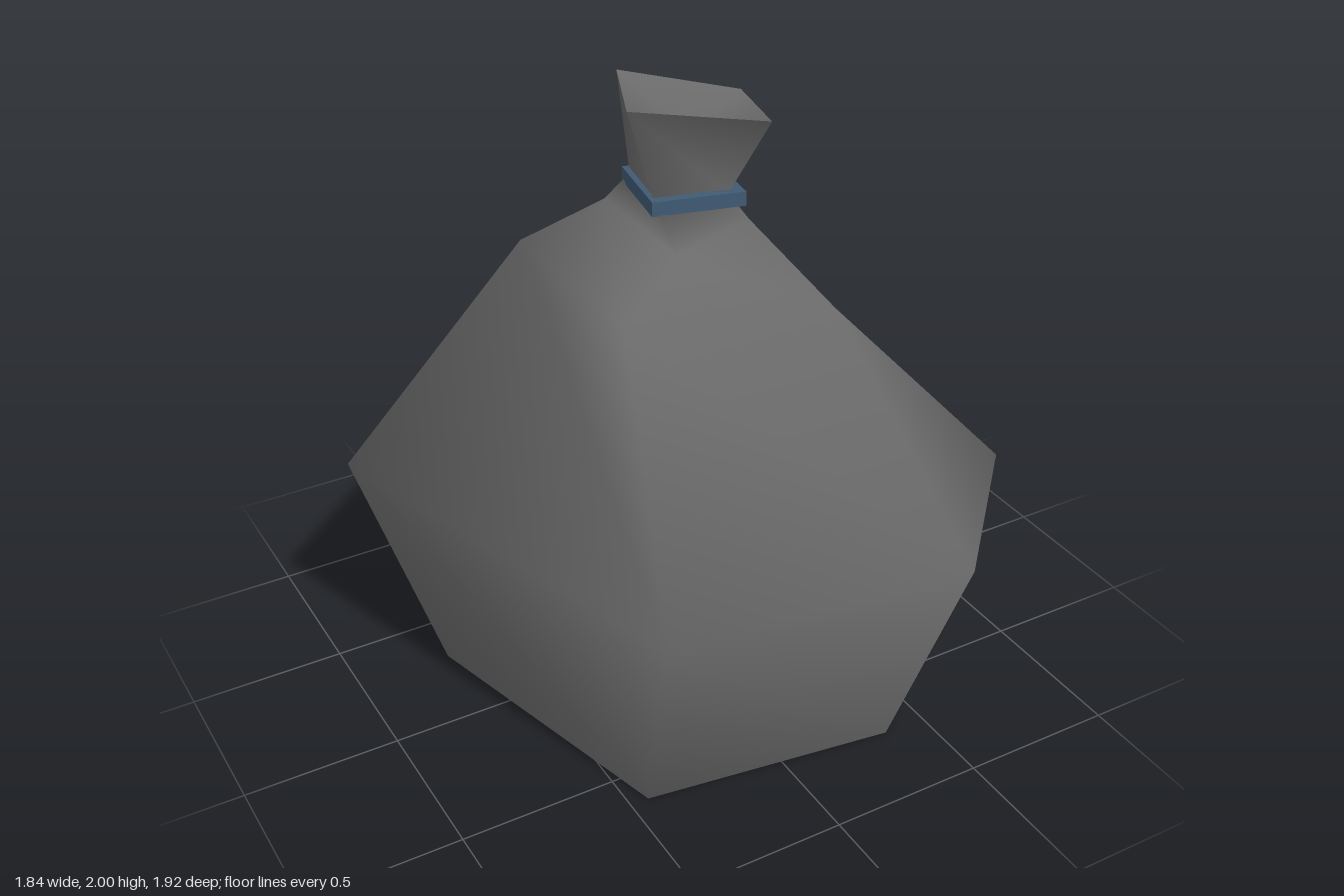
import * as THREE from 'three';

// Cross-sections from the ground up; each runs round from the back right corner.
const base = [[-0.69, 0, -0.31], [-0.08, 0, -0.71], [0.61, 0, -0.43], [0.77, 0, 0.36], [0.36, 0, 0.73], [-0.44, 0, 0.62]];
const belly = [[-0.92, 0.76, -0.45], [-0.19, 0.75, -0.96], [0.71, 0.74, -0.57], [0.915, 0.73, 0.48], [0.46, 0.74, 0.96], [-0.5, 0.75, 0.85]];
const shoulder = [[-0.36, 1.47, -0.3], [0.33, 1.44, -0.33], [0.31, 1.39, 0.41], [-0.36, 1.48, 0.36]];
const gather = [[-0.16, 1.63, -0.13], [0.15, 1.63, -0.14], [0.15, 1.62, 0.18], [-0.11, 1.58, 0.22]];
const neck = [[-0.09, 1.71, -0.1], [0.12, 1.7, -0.09], [0.11, 1.69, 0.13], [-0.12, 1.7, 0.1]];
const mouth = [[-0.06, 1.98, -0.23], [0.27, 1.91, -0.07], [0.205, 1.92, 0.205], [-0.21, 2, 0.11]];
const tieTop = [[-0.105, 1.725, -0.12], [0.18, 1.705, -0.11], [0.15, 1.7, 0.165], [-0.14, 1.715, 0.125]];

// Skins neighbouring rings; links says which upper corner each lower corner meets.
function skinRings(rings, links = {}) {
  const index = [];
  let start = 0;
  for (let r = 0; r < rings.length - 1; r++) {
    const n = rings[r].length;
    const next = start + n;
    for (let i = 0; i < n; i++) {
      const j = (i + 1) % n;
      const u = next + (links[r] ? links[r][i] : i);
      const v = next + (links[r] ? links[r][j] : j);
      if (u !== v) index.push(start + i, u, v);
      index.push(start + i, v, start + j);
    }
    start = next;
  }
  const geometry = new THREE.BufferGeometry();
  geometry.setAttribute('position', new THREE.Float32BufferAttribute(rings.flat(2), 3));
  geometry.setIndex(index);
  geometry.computeVertexNormals();
  return geometry;
}

// Copies a ring, drawn in towards its middle and lowered
function offsetRing(ring, scale, drop) {
  return ring.map(([x, y, z]) => [0.02 + (x - 0.02) * scale, y - drop, 0.015 + (z - 0.015) * scale]);
}

export function createModel() {
  const group = new THREE.Group();
  group.name = 'tiedBag';

  const plastic = new THREE.MeshStandardMaterial({ color: 0x6b6b6b, side: THREE.DoubleSide });
  plastic.name = 'greyPlastic';
  const cord = new THREE.MeshStandardMaterial({ color: 0x3f5a73 });
  cord.name = 'blueTie';

  const add = (name, geometry, material) => {
    const mesh = new THREE.Mesh(geometry, material);
    mesh.name = name;
    group.add(mesh);
  };

  // Smooth bag, open below: six-sided belly gathered into a four-sided neck and flared mouth
  add('bag', skinRings([base, belly, shoulder, gather, neck, mouth], { 1: [0, 0, 0, 1, 2, 3] }), plastic);

  // Shallow funnel inside the mouth
  add('mouthLining', skinRings([mouth, [[0.04, 1.86, 0.02]]], { 0: [0, 0, 0, 0] }), plastic);

  // Flat-sided four-cornered tie round the neck
  const tie = skinRings([
    offsetRing(tieTop, 0.6, 0.045),
    offsetRing(tieTop, 1, 0.045),
    tieTop,
    offsetRing(tieTop, 0.6, 0),
  ]).toNonIndexed();
  tie.computeVertexNormals();
  add('tie', tie, cord);

  return group;
}
